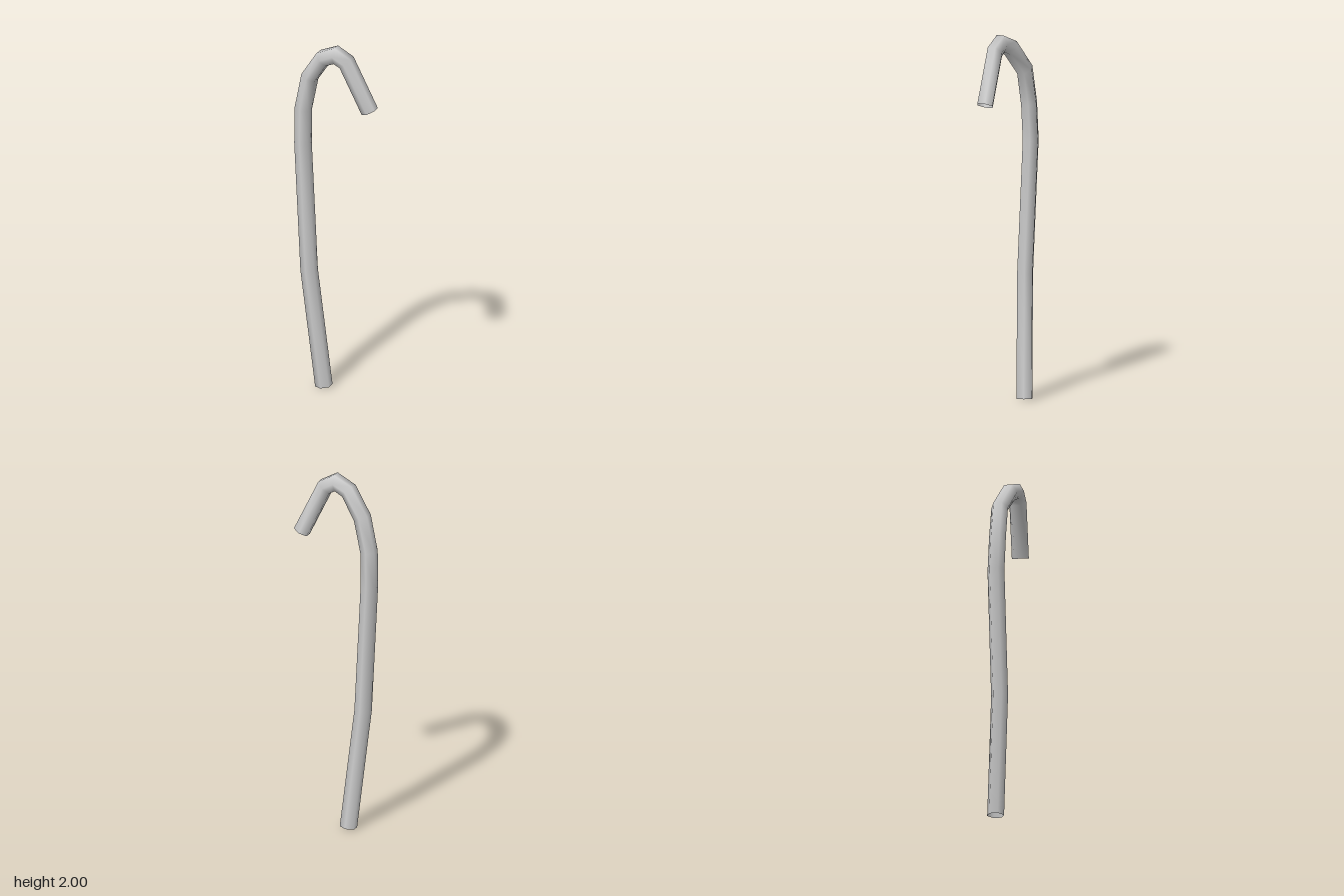
import * as THREE from 'three';

const SIDES = 6;
const RADIUS = 0.047;

// Sweep a six-sided ring along a bent centre line, mitred at each bend
function sweepTube(points, across) {
  const positions = [], indices = [];
  const last = points.length - 1;
  points.forEach((p, i) => {
    const into = points[Math.max(i, 1)].clone().sub(points[Math.max(i, 1) - 1]).normalize();
    const out = points[Math.min(i, last - 1) + 1].clone().sub(points[Math.min(i, last - 1)]).normalize();
    const t = into.clone().add(out).normalize();
    const u = across.clone().addScaledVector(t, -across.dot(t)).normalize();
    const v = t.clone().cross(u);
    const miter = 1 / t.dot(out);
    for (let j = 0; j < SIDES; j++) {
      const a = (j / SIDES) * Math.PI * 2;
      const q = p.clone()
        .addScaledVector(u, Math.cos(a) * RADIUS)
        .addScaledVector(v, Math.sin(a) * RADIUS * miter);
      positions.push(q.x, q.y, q.z);
      if (i < last) {
        const k = i * SIDES + j, n = i * SIDES + ((j + 1) % SIDES);
        indices.push(k, n, k + SIDES, n, n + SIDES, k + SIDES);
      }
    }
  });
  const geometry = new THREE.BufferGeometry();
  geometry.setAttribute('position', new THREE.Float32BufferAttribute(positions, 3));
  geometry.setIndex(indices);
  geometry.computeVertexNormals();
  return geometry;
}

export function createModel() {
  const group = new THREE.Group();
  group.name = 'hookedCane';

  // Centre line from the foot up the shaft and over the hook
  const path = [
    [-0.013, 0.01, -0.097],
    [-0.085, 0.68, -0.13],
    [-0.1, 1.4, -0.168],
    [-0.103, 1.6, -0.16],
    [-0.082, 1.79, -0.127],
    [-0.055, 1.92, -0.035],
    [-0.02, 1.955, 0.036],
    [0.018, 1.92, 0.085],
    [0.107, 1.65, 0.177],
  ].map((p) => new THREE.Vector3(...p));

  // Open-ended tube, so its inside shows at both ends
  const material = new THREE.MeshStandardMaterial({ color: 0xcccccc, side: THREE.DoubleSide });
  const tube = new THREE.Mesh(sweepTube(path, new THREE.Vector3(0.83, 0, -0.55)), material);
  tube.name = 'caneTube';
  group.add(tube);
  return group;
}
